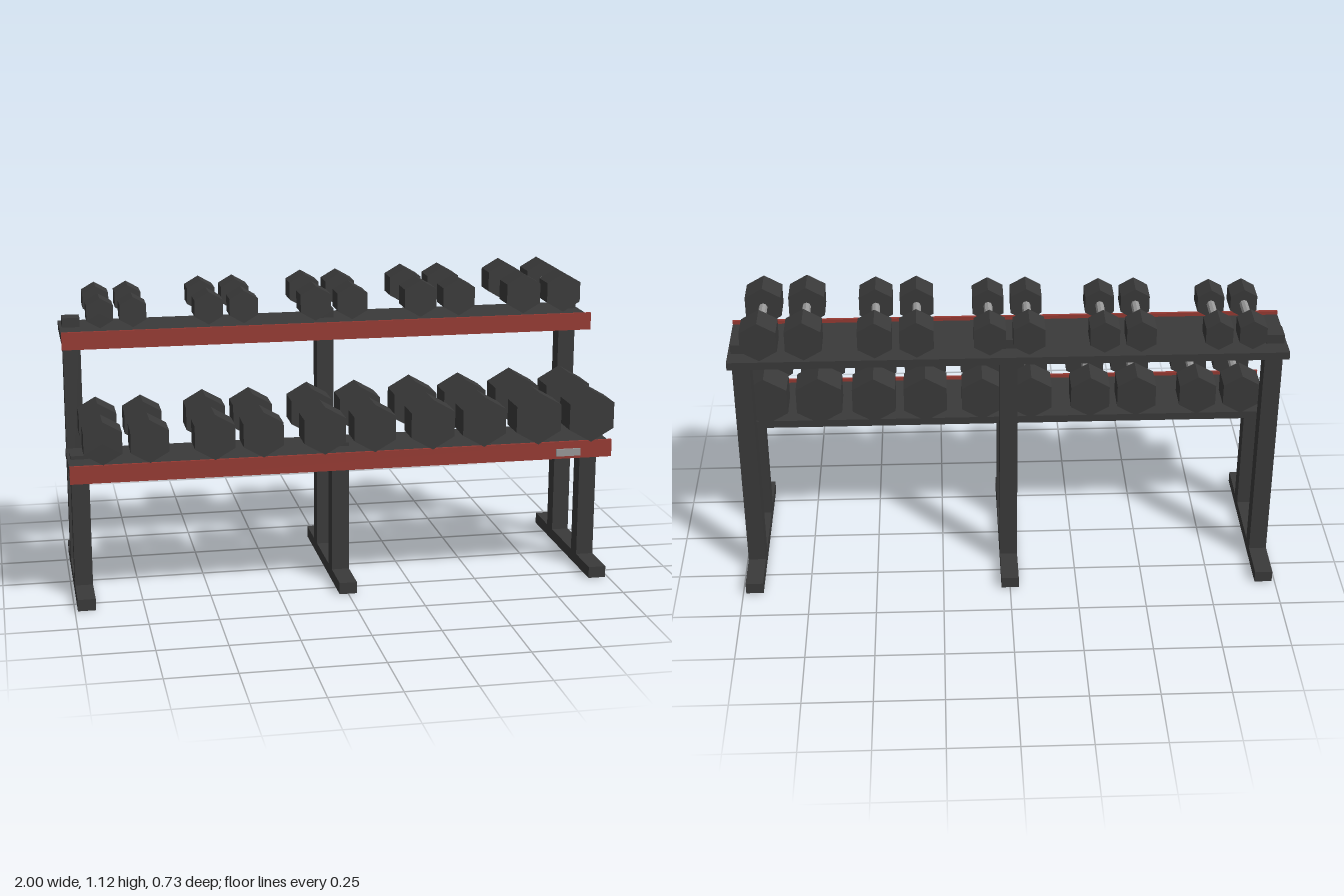
import * as THREE from 'three';

export function createModel() {
  const rack = new THREE.Group();
  rack.name = 'dumbbellRack';

  const mat = (name, color, flatShading = false) =>
    Object.assign(new THREE.MeshStandardMaterial({ color, flatShading }), { name });
  const dark = mat('darkGrey', 0x3a3a3a, true);
  const red = mat('red', 0x983a33);
  const steel = mat('steel', 0x9a9a9a, true);

  // Box given by its limits on each axis
  function box(name, material, [x0, x1], [y0, y1], [z0, z1], parent = rack) {
    const mesh = new THREE.Mesh(new THREE.BoxGeometry(x1 - x0, y1 - y0, z1 - z0), material);
    mesh.position.set((x0 + x1) / 2, (y0 + y1) / 2, (z0 + z1) / 2);
    mesh.name = name;
    parent.add(mesh);
  }

  // Three stands: a foot with a short front post and a tall back post
  for (const x of [-0.957, 0, 0.957]) {
    const stand = new THREE.Group();
    stand.name = 'stand';
    const span = [x - 0.0325, x + 0.0325];
    box('foot', dark, span, [0, 0.043], [-0.363, 0.325], stand);
    box('frontPost', dark, span, [0.043, 0.535], [0.105, 0.17], stand);
    box('backPost', dark, span, [0.043, 0.978], [-0.207, -0.14], stand);
    rack.add(stand);
  }

  // Shelves with red front rails
  box('lowerShelf', dark, [-1, 1], [0.493, 0.522], [0.015, 0.299]);
  box('lowerRail', red, [-1, 1], [0.47, 0.535], [0.299, 0.309]);
  box('upperShelf', dark, [-1, 1], [0.914, 0.943], [-0.273, 0.01]);
  box('upperRail', red, [-1, 1], [0.892, 0.957], [0.01, 0.02]);
  box('railPlate', steel, [0.785, 0.877], [0.482, 0.509], [0.312, 0.319]);

  // Cylinder lying along z, with a corner pointing up
  function rod(name, material, radius, sides, z0, z1, parent) {
    const geometry = new THREE.CylinderGeometry(radius, radius, z1 - z0, sides).rotateX(Math.PI / 2);
    const mesh = new THREE.Mesh(geometry, material);
    mesh.position.z = (z0 + z1) / 2;
    mesh.name = name;
    parent.add(mesh);
  }

  // Hexagonal dumbbell; size runs from 0 to 9
  function dumbbell(size, x, floor, z) {
    const group = new THREE.Group();
    group.name = 'dumbbell';
    const radius = 0.0556 + 0.0046 * size;
    const inner = 0.0725 + 0.00145 * size;
    const outer = 0.165 + 0.0046 * size;
    rod('handle', steel, 0.0155, 8, -inner, inner, group);
    rod('frontHead', dark, radius, 6, inner, outer, group);
    rod('backHead', dark, radius, 6, -outer, -inner, group);
    group.position.set(x, floor + radius, z);
    rack.add(group);
  }

  // Five pairs per shelf, growing to the right and then down
  for (let size = 0; size < 10; size++) {
    const upper = size < 5;
    const centre = -0.8 + 0.4 * (size % 5);
    const half = 0.06 + 0.0045 * size;
    for (const side of [-1, 1])
      dumbbell(size, centre + side * half, upper ? 0.972 : 0.546, upper ? -0.13 : 0.159);
  }

  return rack;
}
